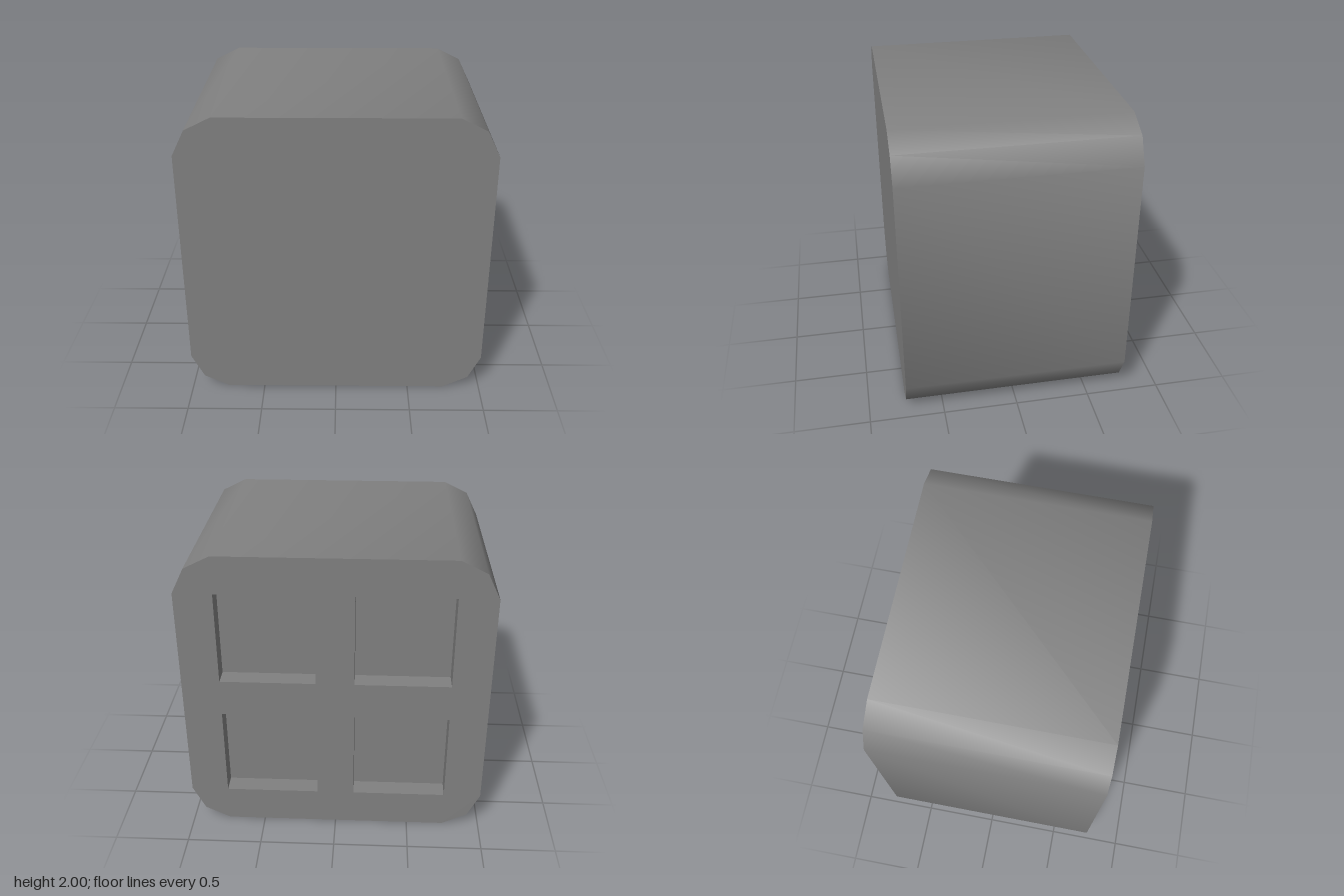
import * as THREE from 'three';
import { toCreasedNormals, mergeGeometries } from 'three/addons/utils/BufferGeometryUtils.js';

const FRONT = 0.75, BACK = -0.75, FLOOR = -0.625;
const CY = 1; // height of the block's centre

// Walls swept along z around a closed outline; counter-clockwise outlines face outward
function walls(points, z0, z1) {
  const pos = [];
  points.forEach((a, i) => {
    const b = points[(i + 1) % points.length];
    pos.push(a.x, a.y, z0, b.x, b.y, z0, b.x, b.y, z1);
    pos.push(a.x, a.y, z0, b.x, b.y, z1, a.x, a.y, z1);
  });
  const g = new THREE.BufferGeometry();
  g.setAttribute('position', new THREE.Float32BufferAttribute(pos, 3));
  return toCreasedNormals(g, 0.8);
}

// Square outline of a recess, counter-clockwise
function square(cx, cy, half) {
  return [[1, -1], [1, 1], [-1, 1], [-1, -1]]
    .map(([x, y]) => new THREE.Vector2(cx + x * half, cy + y * half));
}

export function createModel() {
  const group = new THREE.Group();
  const grey = new THREE.MeshStandardMaterial({ color: 0x808080 });
  grey.name = 'grey';

  const add = (name, geometry) => {
    const mesh = new THREE.Mesh(geometry, grey);
    mesh.name = name;
    mesh.position.y = CY;
    group.add(mesh);
  };

  // Rounded-square outline, one corner turned four times
  const outline = [];
  for (let i = 0; i < 4; i++) {
    for (const [x, y] of [[1, 0.75], [0.917, 0.917], [0.75, 1]]) {
      outline.push(new THREE.Vector2(x, y).rotateAround(new THREE.Vector2(), i * Math.PI / 2));
    }
  }

  add('outerSides', walls(outline, BACK, FRONT));
  add('frontFace', new THREE.ShapeGeometry(new THREE.Shape(outline)).translate(0, 0, FRONT));

  // Back face with four square openings, each a shallow recess
  const backShape = new THREE.Shape(outline);
  const half = 0.3125, offset = 0.4375;
  for (const sy of [1, -1]) {
    for (const sx of [1, -1]) {
      const corners = square(sx * offset, sy * offset, half);
      backShape.holes.push(new THREE.Path([...corners].reverse()));
      const sides = walls([...corners].reverse(), BACK, FLOOR);
      const floor = new THREE.PlaneGeometry(half * 2, half * 2).rotateY(Math.PI)
        .translate(sx * offset, sy * offset, FLOOR).toNonIndexed();
      floor.deleteAttribute('uv');
      add(`${sy > 0 ? 'upper' : 'lower'}${sx > 0 ? 'Left' : 'Right'}Recess`, mergeGeometries([sides, floor]));
    }
  }
  add('backFace', new THREE.ShapeGeometry(backShape).rotateY(Math.PI).translate(0, 0, BACK));

  return group;
}
